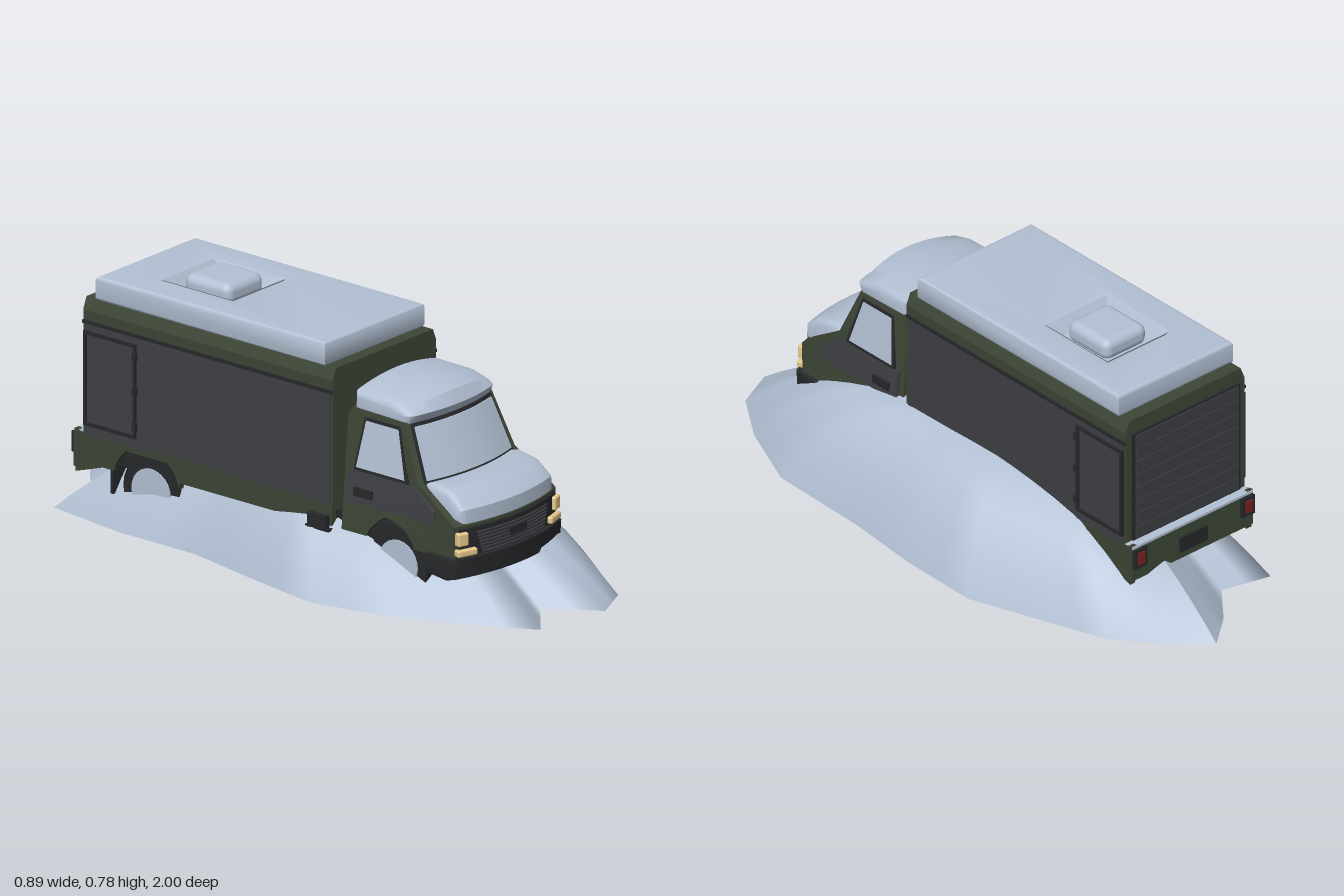
import * as THREE from 'three';
import { toCreasedNormals } from 'three/addons/utils/BufferGeometryUtils.js';
import { RoundedBoxGeometry } from 'three/addons/geometries/RoundedBoxGeometry.js';
import { ParametricGeometry } from 'three/addons/geometries/ParametricGeometry.js';

const mat = (color, side = THREE.FrontSide) => new THREE.MeshStandardMaterial({ color, side });
const snow = mat(0xb3c1d4), snowSheet = mat(0xb3c1d4, THREE.DoubleSide);
const green = mat(0x3d4636), dark = mat(0x3e4045), black = mat(0x27282a);
const lamp = mat(0xe6c88c), red = mat(0x7d2222);
const { clamp } = THREE.MathUtils;

export function createModel() {
  const model = new THREE.Group();
  const truck = new THREE.Group();
  truck.name = 'truck';
  truck.position.x = -0.0675;
  model.add(truck);

  const add = (name, geo, material, x = 0, y = 0, z = 0) => {
    const m = new THREE.Mesh(geo, material);
    m.name = name;
    m.position.set(x, y, z);
    truck.add(m);
    return m;
  };
  const box = (name, w, h, d, material, x, y, z) => add(name, new THREE.BoxGeometry(w, h, d), material, x, y, z);
  const soft = (name, w, h, d, r, material, x, y, z) => add(name, new RoundedBoxGeometry(w, h, d, 4, r), material, x, y, z);
  const poly = pts => new THREE.Shape(pts.map(p => new THREE.Vector2(...p)));
  const rect = (a, b, c, d) => poly([[a, c], [b, c], [b, d], [a, d]]);

  // Side outline (z, y) extruded across the truck's width; a bevel rounds it outward
  const slab = (shape, width, x = 0, bevel = 0) => {
    const g = new THREE.ExtrudeGeometry(shape, {
      depth: width, steps: 12, curveSegments: 16, bevelEnabled: bevel > 0,
      bevelSize: bevel, bevelThickness: bevel, bevelSegments: 4,
    });
    return g.translate(0, 0, -width / 2).rotateY(-Math.PI / 2).translate(x, 0, 0);
  };
  // Cab parts lean inward above the waist and bow back towards the front corners
  const shapeCab = g => {
    const p = g.attributes.position;
    for (let i = 0; i < p.count; i++) {
      const up = clamp((p.getY(i) - 0.32) / 0.25, 0, 1);
      const front = clamp((p.getZ(i) - 0.42) / 0.1, 0, 1);
      const x = p.getX(i) * (1 - 0.15 * up);
      p.setXYZ(i, x, p.getY(i), p.getZ(i) - 0.75 * x * x * front);
    }
    return toCreasedNormals(g, 0.6);
  };
  const cabPart = (name, shape, width, material, bevel) => add(name, shapeCab(slab(shape, width, 0, bevel)), material);

  // Snow drift: a dome with a ragged rim, (x, z) pairs around the ground edge
  const rim = [[0.06, -1], [0.18, -0.89], [0.28, -0.77], [0.35, -0.58], [0.44, -0.32], [0.435, -0.05],
    [0.41, 0.2], [0.4, 0.55], [0.3, 0.78], [0.19, 0.94], [0.06, 1], [-0.05, 0.84], [-0.19, 0.96],
    [-0.29, 0.77], [-0.39, 0.55], [-0.45, 0.28], [-0.4, 0], [-0.35, -0.25], [-0.35, -0.55],
    [-0.31, -0.83], [-0.15, -0.79], [-0.05, -0.91]];
  const n = rim.length;
  const drift = new THREE.Mesh(new ParametricGeometry((u, t, out) => {
    const k = u * n, i = Math.floor(k), f = k - i;
    const a = rim[i % n], b = rim[(i + 1) % n];
    const x = a[0] + (b[0] - a[0]) * f, z = a[1] + (b[1] - a[1]) * f + 0.05;
    const side = x / Math.hypot(x, z);
    const power = 2.2 + (side > 0 ? 1.3 * Math.min(1, side * 3) : side * side);
    out.set(x * t, 0.325 * (1 - Math.pow(t, power)), z * t - 0.05);
  }, n * 2, 16), snowSheet);
  drift.name = 'snowDrift';
  model.add(drift);

  // Cab body with front wheel arch
  const cab = poly([[0.28, 0.19], [0.365, 0.19]]);
  cab.absarc(0.49, 0.14, 0.125, Math.PI - 0.41, 0.41, true);
  [[0.755, 0.19], [0.758, 0.295], [0.72, 0.325], [0.605, 0.395], [0.525, 0.565], [0.295, 0.57], [0.28, 0.55]]
    .forEach(p => cab.lineTo(...p));
  cabPart('cab', cab, 0.466, green);
  cabPart('cabDoors', poly([[0.3, 0.285], [0.68, 0.285], [0.68, 0.325], [0.59, 0.385], [0.3, 0.385]]), 0.47, dark);
  cabPart('sideWindowFrames', poly([[0.32, 0.385], [0.57, 0.385], [0.51, 0.55], [0.345, 0.55]]), 0.47, black);
  cabPart('sideWindows', poly([[0.33, 0.395], [0.555, 0.395], [0.503, 0.54], [0.352, 0.54]]), 0.474, snow);
  for (const s of [-1, 1]) box('doorHandle', 0.012, 0.026, 0.07, black, s * 0.234, 0.322, 0.365);

  // Bowed windscreen on the sloping face
  cabPart('windscreenSeal', poly([[0.59, 0.39], [0.61, 0.39], [0.532, 0.56], [0.51, 0.56]]), 0.424, black);
  cabPart('windscreen', poly([[0.59, 0.4], [0.609, 0.4], [0.541, 0.55], [0.52, 0.55]]), 0.406, snow);

  // Snow on bonnet and cab roof
  cabPart('bonnetSnow', poly([[0.742, 0.318], [0.742, 0.335], [0.7, 0.37], [0.635, 0.383], [0.605, 0.375], [0.63, 0.32]]), 0.39, snow, 0.018);
  const cap = slab(poly([[0.318, 0.57], [0.512, 0.57], [0.52, 0.585], [0.507, 0.606], [0.44, 0.62], [0.318, 0.622]]), 0.42, 0, 0.02);
  const cp = cap.attributes.position;
  for (let i = 0; i < cp.count; i++) if (cp.getY(i) > 0.59) cp.setY(i, cp.getY(i) - 0.5 * cp.getX(i) ** 2);
  add('cabRoofSnow', shapeCab(cap), snow);

  // Nose: grille, lamps and front bumper
  cabPart('grillePanel', rect(0.74, 0.764, 0.2, 0.286), 0.44, black);
  for (let i = 0; i < 7; i++) {
    const y = 0.206 + i * 0.0105;
    cabPart('grilleSlat', rect(0.75, 0.769, y - 0.0025, y + 0.0025), 0.284 + 0.006 * i, dark);
  }
  box('grillePlate', 0.075, 0.025, 0.012, black, 0, 0.243, 0.766);
  for (const s of [-1, 1]) {
    soft('headlamp', 0.038, 0.042, 0.05, 0.006, lamp, s * 0.209, 0.257, 0.718).rotation.y = s * 0.3;
    soft('indicator', 0.07, 0.022, 0.05, 0.006, lamp, s * 0.196, 0.214, 0.724).rotation.y = s * 0.3;
  }
  cabPart('frontBumper', poly([[0.66, 0.14], [0.735, 0.13], [0.768, 0.14], [0.772, 0.193], [0.66, 0.193]]), 0.476, black, 0.005);

  // Cargo body with chamfered roof edges
  const section = poly([[-0.237, 0.24], [0.237, 0.24], [0.237, 0.65], [0.222, 0.687], [-0.222, 0.687], [-0.237, 0.65]]);
  add('cargoBody', new THREE.ExtrudeGeometry(section, { depth: 0.97, bevelEnabled: false }), green, 0, 0, -0.72);
  box('sidePanels', 0.482, 0.35, 0.95, dark, 0, 0.435, -0.235);
  box('sideRail', 0.486, 0.01, 0.968, black, 0, 0.614, -0.236);
  const frame = rect(-0.712, -0.51, 0.29, 0.588);
  frame.holes.push(rect(-0.702, -0.52, 0.3, 0.578));
  add('sideDoorFrames', slab(frame, 0.496), black);
  for (const s of [-1, 1]) for (const y of [0.33, 0.44, 0.55]) box('doorHinge', 0.012, 0.025, 0.014, black, s * 0.247, y, -0.512);

  // Rear roller shutter
  box('shutterFrame', 0.43, 0.37, 0.012, black, 0, 0.455, -0.722);
  for (let i = 0; i < 8; i++) box('shutterSlat', 0.41, 0.041, 0.014, dark, 0, 0.296 + i * 0.0455, -0.725);

  // Roof snow with a sunken hatch
  const hz = 0.375;
  const roof = rect(-0.216, 0.216, -0.2, 0.668);
  roof.holes.push(rect(-0.13, 0.13, hz - 0.147, hz + 0.147));
  const roofGeo = new THREE.ExtrudeGeometry(roof, { depth: 0.052, bevelEnabled: true, bevelSize: 0.012, bevelThickness: 0.012, bevelSegments: 4 });
  add('roofSnow', toCreasedNormals(roofGeo, 0.6).rotateX(-Math.PI / 2), snow, 0, 0.695, 0);
  const pit = add('hatchPit', new THREE.CylinderGeometry(Math.SQRT1_2, Math.SQRT1_2 * 0.76, 1, 4, 1, true).rotateY(Math.PI / 4).toNonIndexed(), snowSheet, 0, 0.737, -hz);
  pit.geometry.computeVertexNormals();
  pit.scale.set(0.245, 0.044, 0.275);
  box('hatchFloor', 0.19, 0.01, 0.215, snow, 0, 0.715, -hz);
  soft('hatchSnow', 0.17, 0.07, 0.18, 0.028, snow, 0, 0.746, -hz);

  // Side skirts with rear wheel arches
  const skirt = poly([[-0.75, 0.27], [-0.745, 0.135], [-0.64, 0.17], [-0.6, 0.17]]);
  skirt.absarc(-0.47, 0.14, 0.13, Math.PI - 0.23, 0.23, true);
  [[-0.34, 0.19], [0.25, 0.19], [0.25, 0.26], [-0.7, 0.26]].forEach(p => skirt.lineTo(...p));
  for (const s of [-1, 1]) add('skirt', slab(skirt, 0.02, s * 0.232), green);

  // Rear bumper, lamps and number board
  box('rearBumper', 0.484, 0.11, 0.035, green, 0, 0.205, -0.736);
  box('rearBumperSnow', 0.48, 0.008, 0.034, snow, 0, 0.263, -0.737);
  box('rearBoard', 0.11, 0.05, 0.012, black, 0, 0.2, -0.755);
  for (const s of [-1, 1]) {
    box('rearLampHousing', 0.05, 0.065, 0.014, black, s * 0.215, 0.225, -0.756);
    box('rearLamp', 0.026, 0.04, 0.008, red, s * 0.215, 0.227, -0.764);
    box('mudFlap', 0.08, 0.1, 0.01, black, s * 0.19, 0.14, -0.615);
  }

  // Underbody, wheels, tanks and steps
  box('cargoFloor', 0.44, 0.07, 0.97, black, 0, 0.215, -0.235);
  box('cabFloor', 0.43, 0.07, 0.47, black, 0, 0.205, 0.485);
  box('crossPanel', 0.4, 0.01, 0.16, green, 0, 0.177, 0.08);
  for (const z of [0.49, -0.47]) for (const s of [-1, 1]) {
    add('tyre', new THREE.CylinderGeometry(0.11, 0.11, 0.085, 24).rotateZ(Math.PI / 2), black, s * 0.176, 0.125, z);
    add('wheelHub', new THREE.CylinderGeometry(0.075, 0.075, 0.006, 24).rotateZ(Math.PI / 2), snow, s * 0.22, 0.125, z);
  }
  for (const s of [-1, 1]) {
    box('sideTank', 0.09, 0.08, 0.18, dark, s * 0.175, 0.18, 0.1);
    box('step', 0.06, 0.008, 0.09, black, s * 0.235, 0.185, 0.21);
    box('stepBracket', 0.02, 0.045, 0.07, black, s * 0.257, 0.205, 0.21);
  }
  return model;
}
